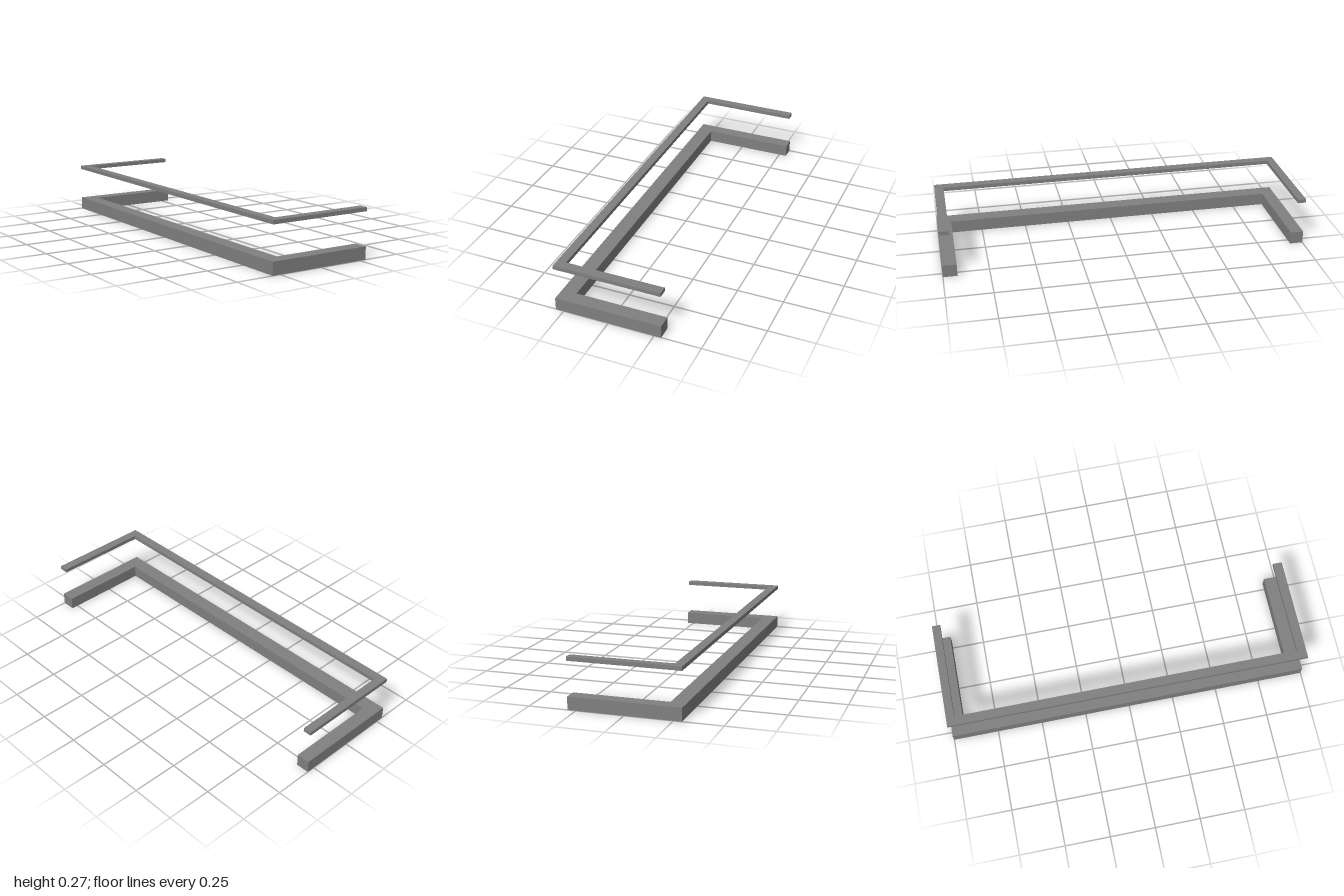
import * as THREE from 'three';

const material = new THREE.MeshStandardMaterial({ color: 0x808080, flatShading: true });

// Outer limits shared by both rails; the front arm is slightly shorter
const BACK_X = -0.294, FRONT_END = 0.288, REAR_END = 0.294;

// U-shaped rail: plan outline extruded upwards from y to y + height
function rail(name, y, height, innerX, innerFront, innerRear) {
  // plan points as (x, -z), so that rotating about x lays the shape flat
  const outline = [
    [BACK_X, -1], [FRONT_END, -1], [FRONT_END, -innerFront], [innerX, -innerFront],
    [innerX, -innerRear], [REAR_END, -innerRear], [REAR_END, 1], [BACK_X, 1],
  ].map(([x, p]) => new THREE.Vector2(x, p));
  const geometry = new THREE.ExtrudeGeometry(new THREE.Shape(outline), { depth: height, bevelEnabled: false });
  geometry.rotateX(-Math.PI / 2);
  const mesh = new THREE.Mesh(geometry, material);
  mesh.name = name;
  mesh.position.y = y;
  return mesh;
}

export function createModel() {
  const group = new THREE.Group();
  group.name = 'railPair';
  group.add(
    rail('lowerRail', 0, 0.069, -0.213, 0.923, -0.928),
    rail('upperRail', 0.249, 0.021, -0.245, 0.949, -0.955),
  );
  return group;
}
